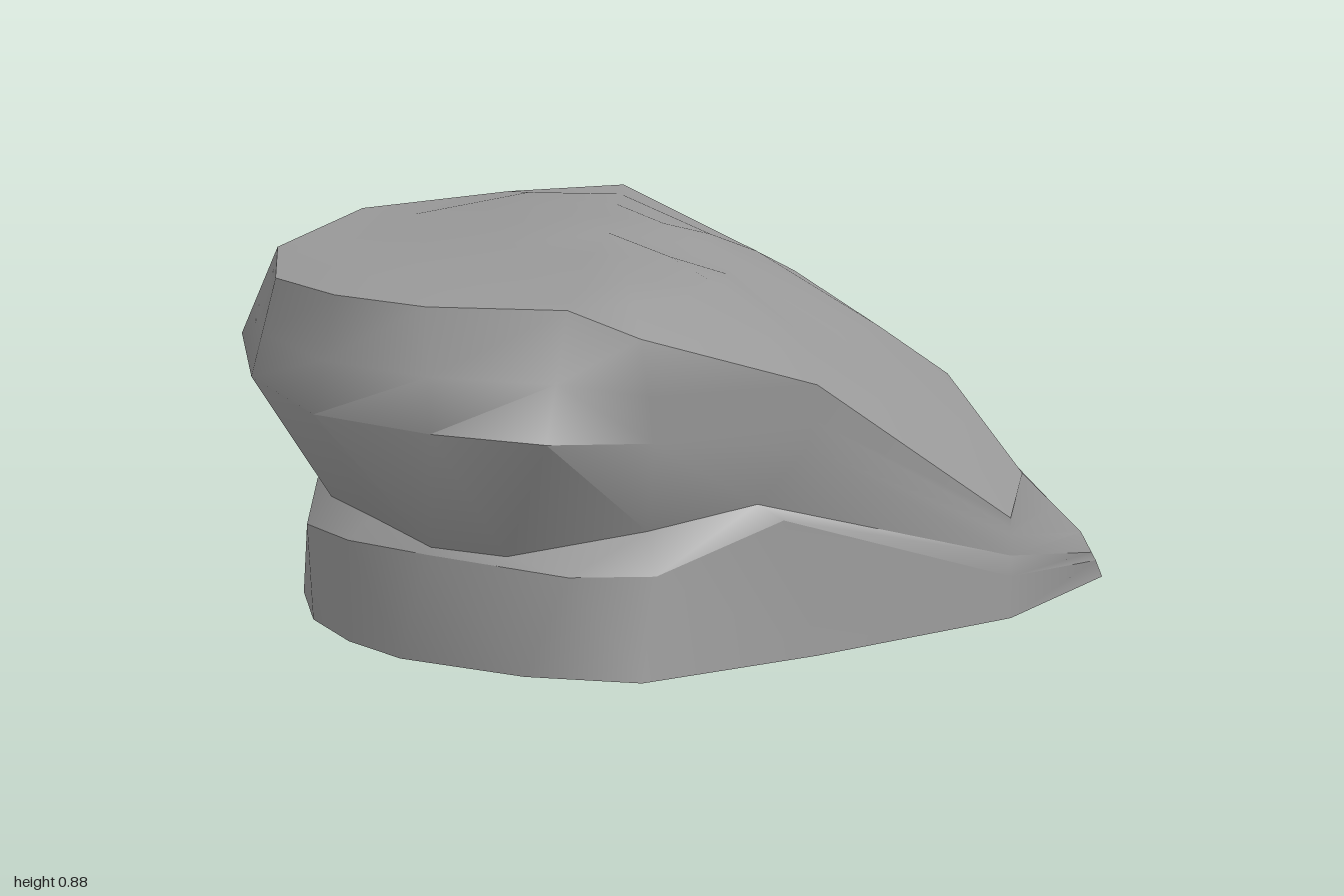
import * as THREE from 'three';
import { toCreasedNormals } from 'three/addons/utils/BufferGeometryUtils.js';

// Rings run from the pointed end (+x) round the front (+z), the blunt end (-x) and the back.
const base = [
  [1, 0, .07], [.71, 0, .36], [.2, 0, .56], [-.25, 0, .69], [-.5, 0, .57], [-.74, 0, .35], [-.82, 0, .18],
  [-.855, 0, -.02], [-.82, 0, -.25], [-.5, 0, -.62], [-.25, 0, -.65], [.06, 0, -.67], [.3, 0, -.54], [.72, 0, -.28]];
// outer lip of the low shelf
const lip = [
  [.985, .04, .07], [.71, .1, .36], [.12, .33, .56], [-.2, .235, .625], [-.4, .235, .585], [-.68, .25, .37], [-.82, .24, .17],
  [-.87, .23, -.02], [-.77, .25, -.32], [-.54, .22, -.57], [-.25, .23, -.63], [.06, .26, -.65], [.3, .24, -.54], [.72, .14, -.28]];
// waist cut in above the shelf
const waist = [
  [.975, .06, .07], [.71, .15, .36], [.06, .37, .55], [-.2, .32, .54], [-.52, .265, .48], [-.67, .265, .36], [-.76, .29, .16],
  [-.81, .29, -.03], [-.76, .265, -.315], [-.52, .27, -.5], [-.27, .26, -.59], [.06, .31, -.645], [.3, .33, -.54], [.72, .22, -.28]];
// widest overhang, and the lip of the shelf on the back
const bulge = [
  [.95, .11, .07], [.71, .2, .36], [.18, .5, .555], [-.2, .55, .61], [-.48, .59, .7], [-.71, .58, .51], [-.93, .58, .28],
  [-1, .59, -.03], [-.94, .6, -.36], [-.71, .59, -.57], [-.42, .53, -.71], [.03, .48, -.655], [.3, .45, -.54], [.72, .32, -.28]];
// edge of the top face
const rim = [
  [.82, .25, .03], [.71, .24, .36], [.2, .65, .56], [-.23, .8, .6], [-.37, .84, .46], [-.68, .84, .35], [-.86, .84, .2],
  [-.94, .82, -.04], [-.88, .83, -.26], [-.61, .83, -.53], [-.23, .81, -.655], [.04, .81, -.645], [.4, .63, -.46], [.72, .41, -.28]];
// inner corners of the shelf on the back, by column
const shelfCorners = { 10: [-.39, .57, -.635], 11: [-.05, .56, -.6] };

// Height of the top face: a slight dome, then falling to the point and tilting to the front
const profile = [[-1, .83], [-.2, .875], [.02, .855], [.15, .8], [.5, .61], [.72, .41], [.82, .31]];
function topHeight(x, z) {
  let i = 0;
  while (i < profile.length - 2 && x > profile[i + 1][0]) i++;
  const [x0, y0] = profile[i], [x1, y1] = profile[i + 1];
  const tilt = THREE.MathUtils.clamp(x / .3, 0, 1) * .2 * Math.max(0, z + .3);
  return y0 + (y1 - y0) * (x - x0) / (x1 - x0) - tilt - .12 * z * z;
}

const mix = (a, b, t) => a.map((v, k) => v + (b[k] - v) * t);
const distance = (a, b) => Math.hypot(a[0] - b[0], a[1] - b[1], a[2] - b[2]);

// Smooth surface through the rings, each quad split along its shorter diagonal; closed at the peak if given
function loft(rings, peak) {
  const n = rings[0].length;
  const points = rings.flat();
  const index = [];
  for (let r = 0; r < rings.length - 1; r++) {
    for (let i = 0; i < n; i++) {
      const a = r * n + i, b = r * n + (i + 1) % n, c = a + n, d = b + n;
      if (distance(points[b], points[c]) < distance(points[a], points[d])) index.push(a, c, b, b, c, d);
      else index.push(a, c, d, a, d, b);
    }
  }
  if (peak) {
    const last = points.length - n;
    for (let i = 0; i < n; i++) index.push(last + i, points.length, last + (i + 1) % n);
    points.push(peak);
  }
  const geometry = new THREE.BufferGeometry();
  geometry.setAttribute('position', new THREE.Float32BufferAttribute(points.flat(), 3));
  geometry.setIndex(index);
  geometry.computeVertexNormals();
  return geometry;
}

export function createModel() {
  const group = new THREE.Group();
  group.name = 'rock';
  const material = new THREE.MeshStandardMaterial({ color: 0x999999, side: THREE.DoubleSide });
  const addPart = (name, geometry) => {
    const mesh = new THREE.Mesh(geometry, material);
    mesh.name = name;
    group.add(mesh);
  };

  // foot and the low shelf on top of it, kept apart for a sharp lip
  addPart('foot', loft([base, lip]));
  addPart('lowShelf', loft([lip, waist]));

  // overhanging wall with a sharp-edged shelf on the back
  const backShelf = bulge.map((p, i) => shelfCorners[i] ?? mix(p, rim[i], .45));
  addPart('upperWall', toCreasedNormals(loft([waist, bulge, backShelf, rim]), THREE.MathUtils.degToRad(65)));

  // top face, its rings closing in on the peak
  const peak = [-.15, .875, -.04];
  const topRing = t => rim.map(p => {
    const [x, , z] = mix(p, peak, t);
    return [x, topHeight(x, z), z];
  });
  addPart('topFace', loft([rim, topRing(.2), topRing(.45), topRing(.7)], peak));
  return group;
}
